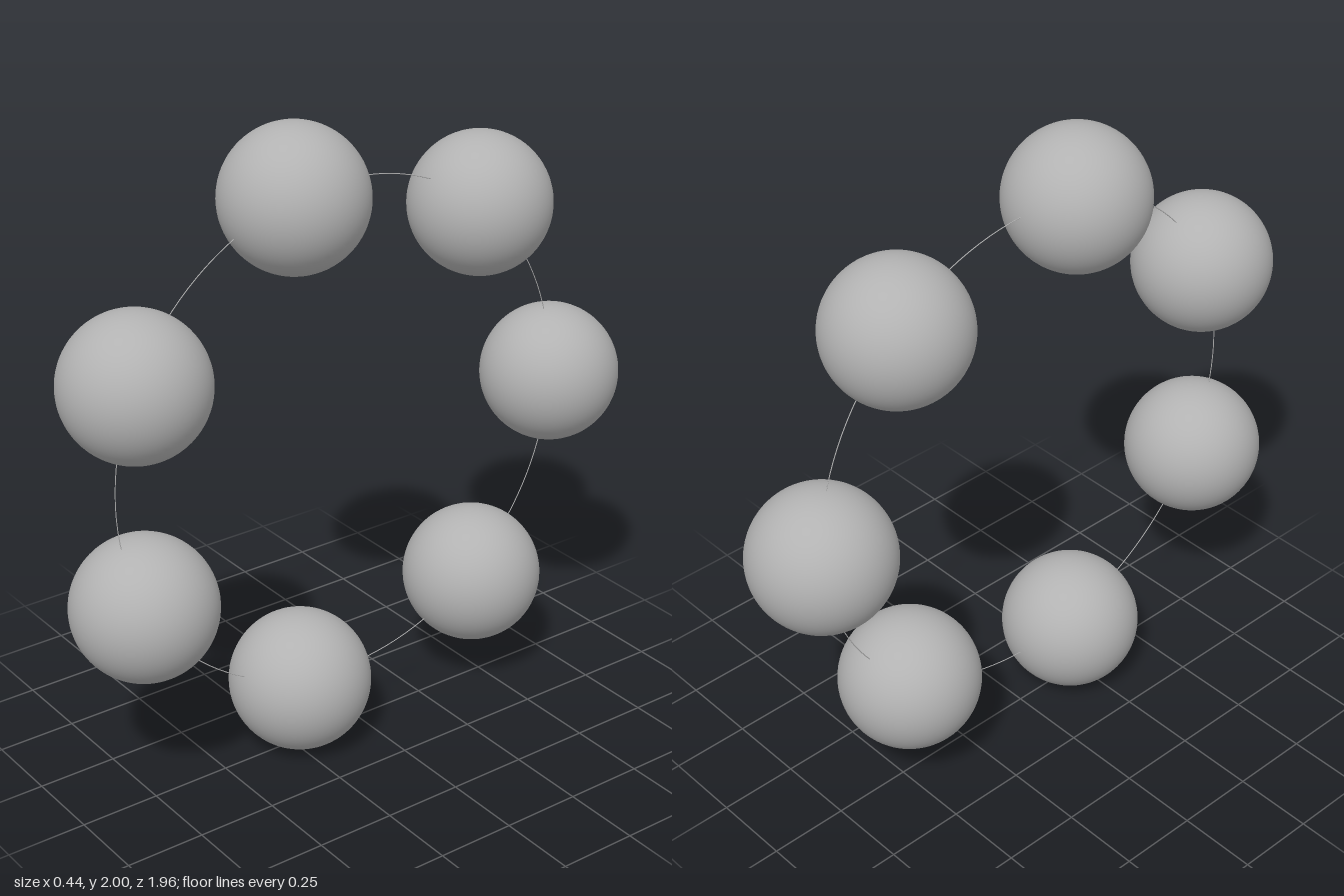
import * as THREE from 'three';

const COUNT = 7, RING_RADIUS = 0.8, BEAD_RADIUS = 0.22;

export function createModel() {
  const model = new THREE.Group();
  model.name = 'beadRing';

  const grey = new THREE.MeshStandardMaterial({ color: 0xb2b2b2 });
  grey.name = 'grey';

  // Upright ring in the y-z plane, nudged forward so the odd bead count is centred
  const ring = new THREE.Group();
  ring.name = 'ring';
  ring.position.set(0, 1, 0.04);
  model.add(ring);

  // Hair-thin thread through the bead centres
  const thread = new THREE.Mesh(new THREE.TorusGeometry(RING_RADIUS, 0.0015, 6, 128), grey);
  thread.name = 'thread';
  thread.rotation.y = Math.PI / 2;
  ring.add(thread);

  // Evenly spaced beads, the first at the very back
  const beadGeometry = new THREE.SphereGeometry(BEAD_RADIUS, 64, 40);
  for (let i = 0; i < COUNT; i++) {
    const angle = (i / COUNT) * Math.PI * 2;
    const bead = new THREE.Mesh(beadGeometry, grey);
    bead.name = `bead${i + 1}`;
    bead.position.set(0, Math.sin(angle) * RING_RADIUS, -Math.cos(angle) * RING_RADIUS);
    ring.add(bead);
  }

  return model;
}
